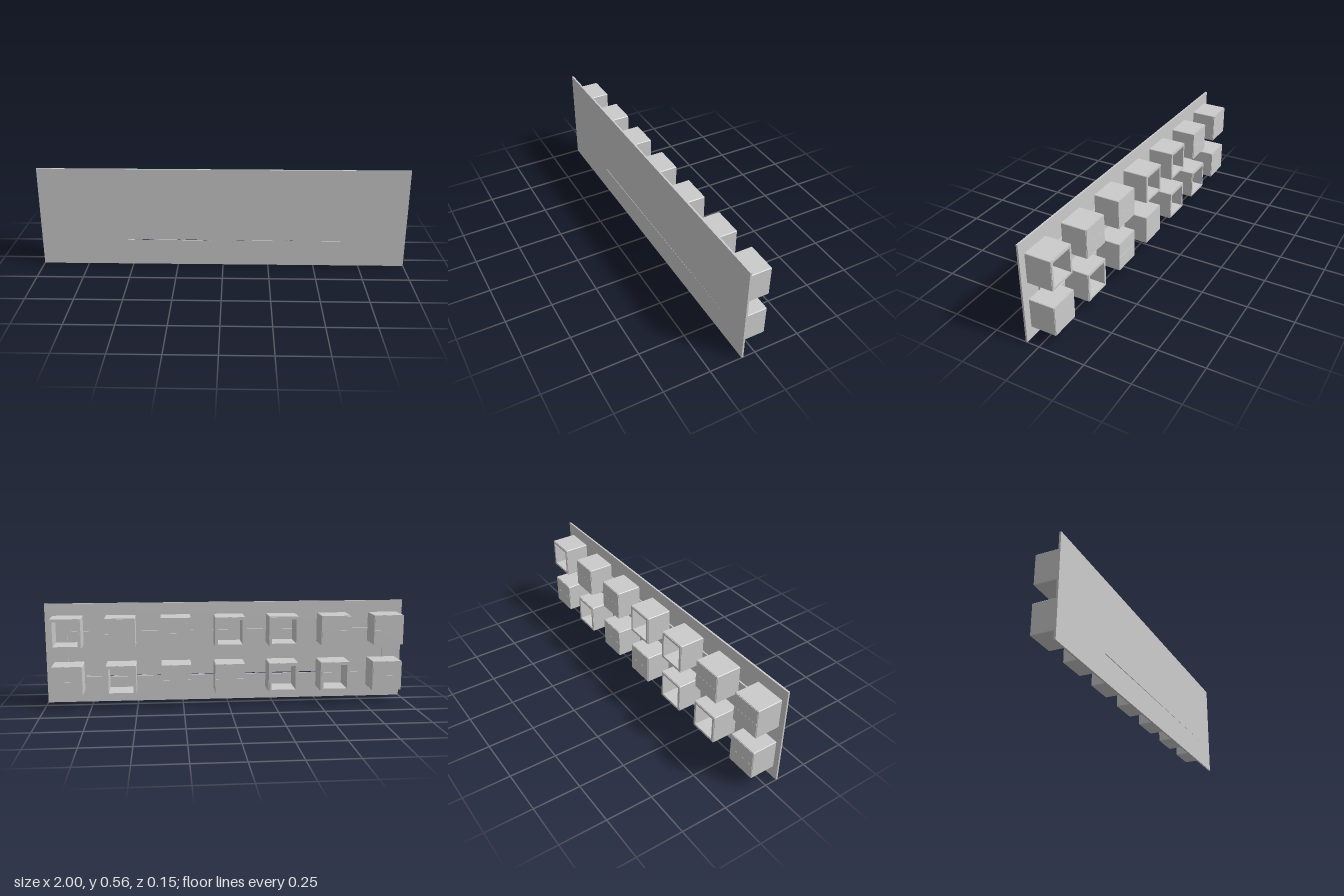
import * as THREE from 'three';

const grey = new THREE.MeshStandardMaterial({ color: 0xcccccc, flatShading: true });

// Rectangle outline with optional chamfered corners
function rect(w, h, cx = 0, cy = 0, c = 0, Type = THREE.Shape) {
  const x = w / 2, y = h / 2;
  const corners = [[-x + c, -y], [x - c, -y], [x, -y + c], [x, y - c], [x - c, y], [-x + c, y], [-x, y - c], [-x, -y + c]];
  const pts = c ? corners : [[-x, -y], [x, -y], [x, y], [-x, y]];
  return new Type(pts.map(([a, b]) => new THREE.Vector2(a + cx, b + cy)));
}

// Extrude a shape from z0 to z1
function slab(name, shape, z0, z1) {
  const geo = new THREE.ExtrudeGeometry(shape, { depth: z1 - z0, bevelEnabled: false });
  geo.translate(0, 0, z0);
  const mesh = new THREE.Mesh(geo, grey);
  mesh.name = name;
  return mesh;
}

export function createModel() {
  const model = new THREE.Group();
  const W = 2, H = 0.555, size = 0.165, wall = 0.016;
  const columns = [0.877, 0.588, 0.288, -0.007, -0.303, -0.593, -0.887];
  const rows = [
    { y: 0.406, open: [1, 0, 0, 1, 1, 0, 0] },
    { y: 0.147, open: [0, 1, 0, 0, 1, 1, 0] },
  ];

  // Board: thin front skin with a tapering hairline slit
  const board = new THREE.Group();
  board.name = 'board';
  const skin = rect(W, H, 0, H / 2);
  skin.holes.push(new THREE.Path([[-0.53, 0.144], [-0.53, 0.149], [0.88, 0.1465]].map(p => new THREE.Vector2(...p))));
  board.add(slab('frontSkin', skin, 0.074, 0.076));

  // Back layer: outer frame and inner panel leave a channel linking the boxes
  const loopW = columns[0] - columns[6], loopH = rows[0].y - rows[1].y;
  const midX = (columns[0] + columns[6]) / 2, midY = (rows[0].y + rows[1].y) / 2;
  const channel = 0.012;
  const frame = rect(W, H, 0, H / 2);
  frame.holes.push(rect(loopW + channel, loopH + channel, midX, midY, 0, THREE.Path));
  board.add(slab('backFrame', frame, 0.066, 0.074));
  board.add(slab('backPanel', rect(loopW - channel, loopH - channel, midX, midY), 0.066, 0.074));
  model.add(board);

  // Two rows of square boxes, some open and some closed by a split lid
  for (const { y, open } of rows) {
    columns.forEach((x, i) => {
      const box = new THREE.Group();
      box.name = open[i] ? 'openBox' : 'closedBox';
      const body = rect(size, size, 0, 0, 0.003);
      body.holes.push(rect(size - 2 * wall, size - 2 * wall, 0, 0, 0, THREE.Path));
      box.add(slab('walls', body, -0.072, 0.066));
      if (open[i]) {
        // Slightly inset rim
        const rim = rect(size - 0.006, size - 0.006);
        rim.holes.push(rect(size - 2 * wall, size - 2 * wall, 0, 0, 0, THREE.Path));
        box.add(slab('rim', rim, -0.075, -0.072));
      } else {
        const lid = size - 0.006, gap = 0.0008;
        for (const s of [-1, 1]) {
          box.add(slab('lidHalf', rect(lid, (lid - gap) / 2, 0, s * (lid + gap) / 4), -0.075, -0.072));
        }
      }
      box.position.set(x, y, 0);
      model.add(box);
    });
  }
  return model;
}
